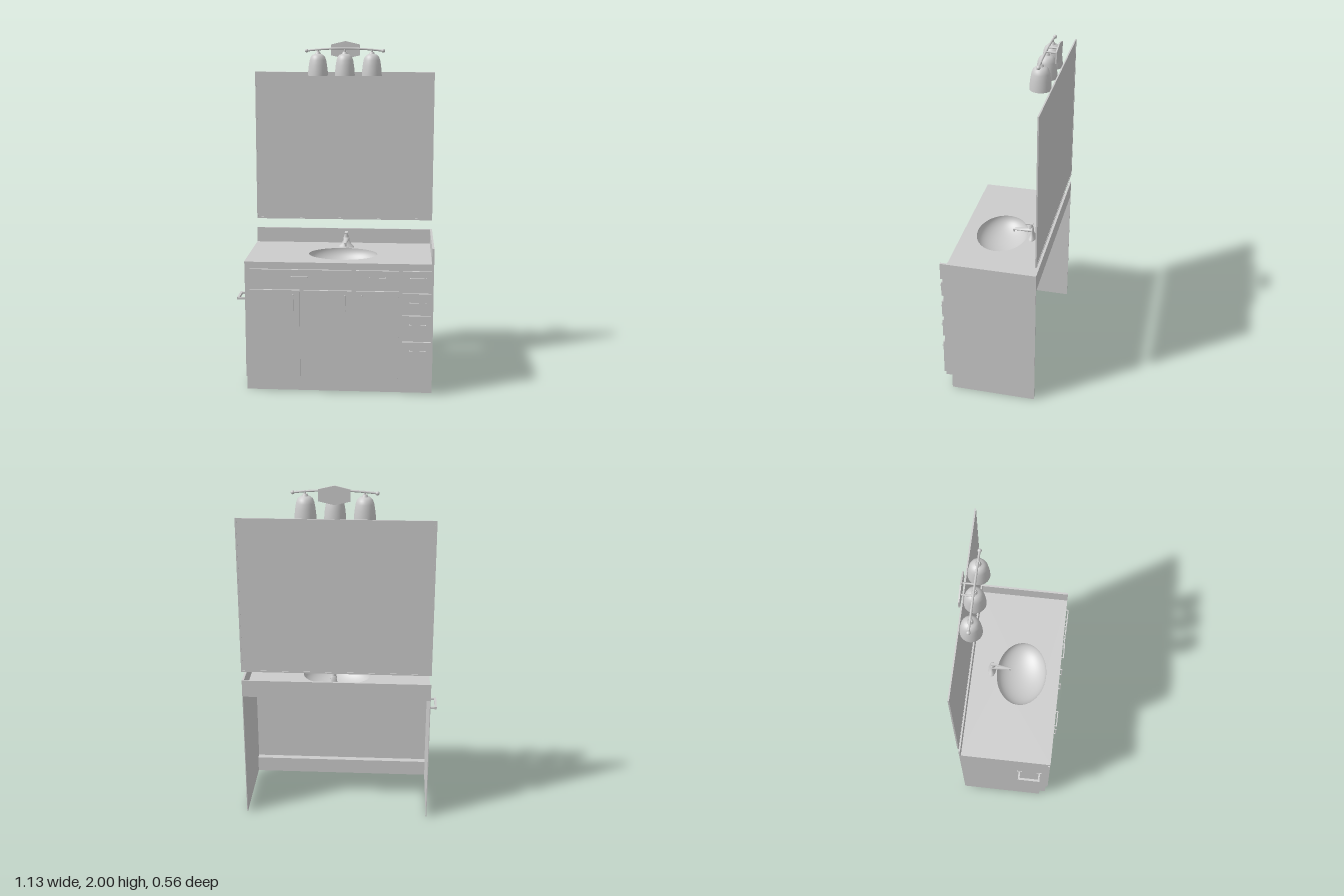
import * as THREE from 'three';

export function createModel() {
  const root = new THREE.Group();
  root.name = 'bathroomVanity';
  const grey = new THREE.MeshStandardMaterial({ color: 0xcccccc, side: THREE.DoubleSide });
  grey.name = 'lightGrey';

  const add = (name, geo, parent = root) => {
    const m = new THREE.Mesh(geo, grey);
    m.name = name;
    parent.add(m);
    return m;
  };
  const group = (name) => {
    const g = new THREE.Group();
    g.name = name;
    root.add(g);
    return g;
  };
  // Box given by its limits on each axis
  const box = (name, x0, x1, y0, y1, z0, z1, parent) =>
    add(name, new THREE.BoxGeometry(x1 - x0, y1 - y0, z1 - z0)
      .translate((x0 + x1) / 2, (y0 + y1) / 2, (z0 + z1) / 2), parent);
  const v = (x, y, z) => new THREE.Vector3(x, y, z);

  const L = -0.513, R = 0.561, BACK = -0.278, FACE = 0.25, TOE = 0.214;
  const TOP = 0.778, UNDER = 0.766;

  // Cabinet carcass: open at the back and underneath
  const cabinet = group('cabinet');
  const side = new THREE.Shape([[BACK, 0], [TOE, 0], [TOE, 0.09], [FACE, 0.09], [FACE, UNDER], [BACK, UNDER]]
    .map(([z, y]) => new THREE.Vector2(z, y)));
  for (const [name, x] of [['rightSide', L + 0.004], ['leftSide', R]]) {
    const geo = new THREE.ExtrudeGeometry(side, { depth: 0.004, bevelEnabled: false });
    add(name, geo.rotateY(-Math.PI / 2).translate(x, 0, 0), cabinet);
  }
  box('frontPanel', L, R, 0.09, UNDER, FACE - 0.004, FACE, cabinet);
  box('toeKick', L, R, 0, 0.09, TOE - 0.004, TOE, cabinet);
  box('toeLedge', L, R, 0.09, 0.094, TOE - 0.004, FACE, cabinet);

  // Pull handle: a bar on two posts
  const pull = (x, y, vertical) => {
    const g = group('pullHandle');
    const h = 0.048, t = 0.003;
    box('bar', -h, h, -t, t, 0.273, 0.279, g);
    for (const s of [-1, 1]) box('post', s * (h - t) - t, s * (h - t) + t, -t, t, 0.263, 0.275, g);
    g.position.set(x, y, 0);
    if (vertical) g.rotation.z = Math.PI / 2;
  };

  // Doors and drawers: x limits, y limits, then handle position
  const front = (name, x0, x1, y0, y1, hx, hy, vertical) => {
    box(name, x0, x1, y0, y1, FACE, 0.264);
    pull(hx, hy, vertical);
  };
  front('door', -0.484, -0.198, 0.10, 0.615, -0.236, 0.545, true);
  front('door', -0.175, 0.098, 0.10, 0.615, 0.06, 0.545, true);
  front('door', 0.122, 0.365, 0.10, 0.615, 0.156, 0.545, true);
  front('drawer', -0.484, 0.098, 0.645, 0.735, -0.2, 0.695);
  front('drawer', 0.122, 0.365, 0.645, 0.735, 0.244, 0.695);
  for (const [y0, y1, hy] of [[0.645, 0.735, 0.695], [0.501, 0.605, 0.552], [0.363, 0.475, 0.422], [0.10, 0.32, 0.268]])
    front('drawer', 0.386, 0.55, y0, y1, 0.474, hy);

  // Countertop with an oval opening, basin and splashes
  const SX = 0.036, SZ = 0.033;
  const slab = new THREE.Shape([[L, -0.264], [R, -0.264], [R, -BACK], [L, -BACK]]
    .map(([x, y]) => new THREE.Vector2(x, y)));
  const hole = new THREE.Path();
  hole.absellipse(SX, -SZ, 0.2, 0.15, 0, Math.PI * 2, true);
  slab.holes.push(hole);
  add('countertop', new THREE.ExtrudeGeometry(slab, { depth: TOP - UNDER, bevelEnabled: false, curveSegments: 32 })
    .rotateX(-Math.PI / 2).translate(0, UNDER, 0));
  add('basin', new THREE.SphereGeometry(1, 64, 16, 0, Math.PI * 2, Math.PI / 2, Math.PI / 2)
    .scale(0.2, 0.1, 0.15).translate(SX, TOP - 0.001, SZ));
  box('backSplash', L, R, UNDER, 0.867, BACK, BACK + 0.01);
  box('sideSplash', R - 0.012, R, UNDER, 0.867, BACK, 0.264);

  // Faucet: flared base, tapering spout and lever
  const faucet = group('faucet');
  const FX = 0.045, FZ = -0.148;
  add('faucetBase', new THREE.LatheGeometry([[0.048, 0], [0.044, 0.008], [0.028, 0.022], [0.018, 0.045], [0.015, 0.07], [0, 0.075]]
    .map(([r, y]) => new THREE.Vector2(r, y)), 20).scale(1, 1, 0.5).translate(FX, TOP, FZ), faucet);
  const spout = new THREE.CylinderGeometry(0.007, 0.019, 0.115, 14);
  spout.rotateX(Math.PI / 2).scale(1, 0.7, 1).rotateX(0.08).translate(FX, 0.827, -0.09);
  add('spout', spout, faucet);
  add('spoutTip', new THREE.CylinderGeometry(0.006, 0.006, 0.016, 12).translate(FX, 0.815, -0.039), faucet);
  add('leverStem', new THREE.CylinderGeometry(0.009, 0.013, 0.03, 14).translate(FX, 0.855, FZ + 0.008), faucet);
  add('lever', new THREE.BoxGeometry(0.018, 0.006, 0.045).rotateX(0.08).translate(FX, 0.87, -0.13), faucet);

  // Paper holder on the right side
  const holder = group('paperHolder');
  for (const z of [0.081, 0.203]) {
    box('mountPlate', L - 0.004, L, 0.53, 0.56, z - 0.016, z + 0.016, holder);
    box('arm', -0.565, L, 0.539, 0.551, z - 0.005, z + 0.005, holder);
  }
  box('holderBar', -0.566, -0.553, 0.538, 0.552, 0.076, 0.208, holder);

  // Wall mirror with a slim frame
  const mirror = group('mirror');
  const M0 = 0.923, M1 = 1.818, F = 0.009, Z0 = -0.28, Z1 = -0.272;
  box('mirrorGlass', L + F, R - F, M0 + F, M1 - F, -0.278, -0.273, mirror);
  for (const x of [L, R - F]) box('frameUpright', x, x + F, M0, M1, Z0, Z1, mirror);
  for (const y of [M0, M1 - F]) box('frameRail', L + F, R - F, y, y + F, Z0, Z1, mirror);

  // Light fitting: six-sided wall plate, arched bar, three bell shades
  const light = group('lightFitting');
  const CX = 0.03, LZ = -0.211;
  const plate = new THREE.Shape([[-0.085, -0.032], [0, -0.052], [0.085, -0.032], [0.085, 0.032], [0, 0.052], [-0.085, 0.032]]
    .map(([x, y]) => new THREE.Vector2(x, y)));
  add('wallPlate', new THREE.ExtrudeGeometry(plate, { depth: 0.008, bevelEnabled: false })
    .translate(CX, 1.948, -0.28), light);
  const arch = new THREE.QuadraticBezierCurve3(v(CX - 0.225, 1.945, LZ), v(CX, 1.972, LZ), v(CX + 0.225, 1.945, LZ));
  add('archedBar', new THREE.TubeGeometry(arch, 32, 0.006, 10), light);
  for (const s of [-1, 1]) {
    add('barEnd', new THREE.SphereGeometry(0.011, 16, 12).translate(CX + s * 0.225, 1.945, LZ), light);
    add('wallArm', new THREE.CylinderGeometry(0.005, 0.005, 0.064, 12).rotateX(Math.PI / 2)
      .translate(CX + s * 0.032, 1.957, LZ - 0.032), light);
  }
  const bell = [[0.059, 1.8], [0.058, 1.825], [0.054, 1.86], [0.049, 1.89], [0.042, 1.91], [0.03, 1.922], [0.016, 1.927]]
    .map(([r, y]) => new THREE.Vector2(r, y));
  for (const x of [CX - 0.159, CX, CX + 0.159]) {
    add('shade', new THREE.LatheGeometry(bell, 32).translate(x, 0, LZ), light);
    add('shadeCap', new THREE.CylinderGeometry(0.011, 0.018, 0.014, 16).translate(x, 1.932, LZ), light);
    add('shadeStem', new THREE.CylinderGeometry(0.006, 0.006, 0.022, 10).translate(x, 1.945, LZ), light);
  }
  return root;
}
